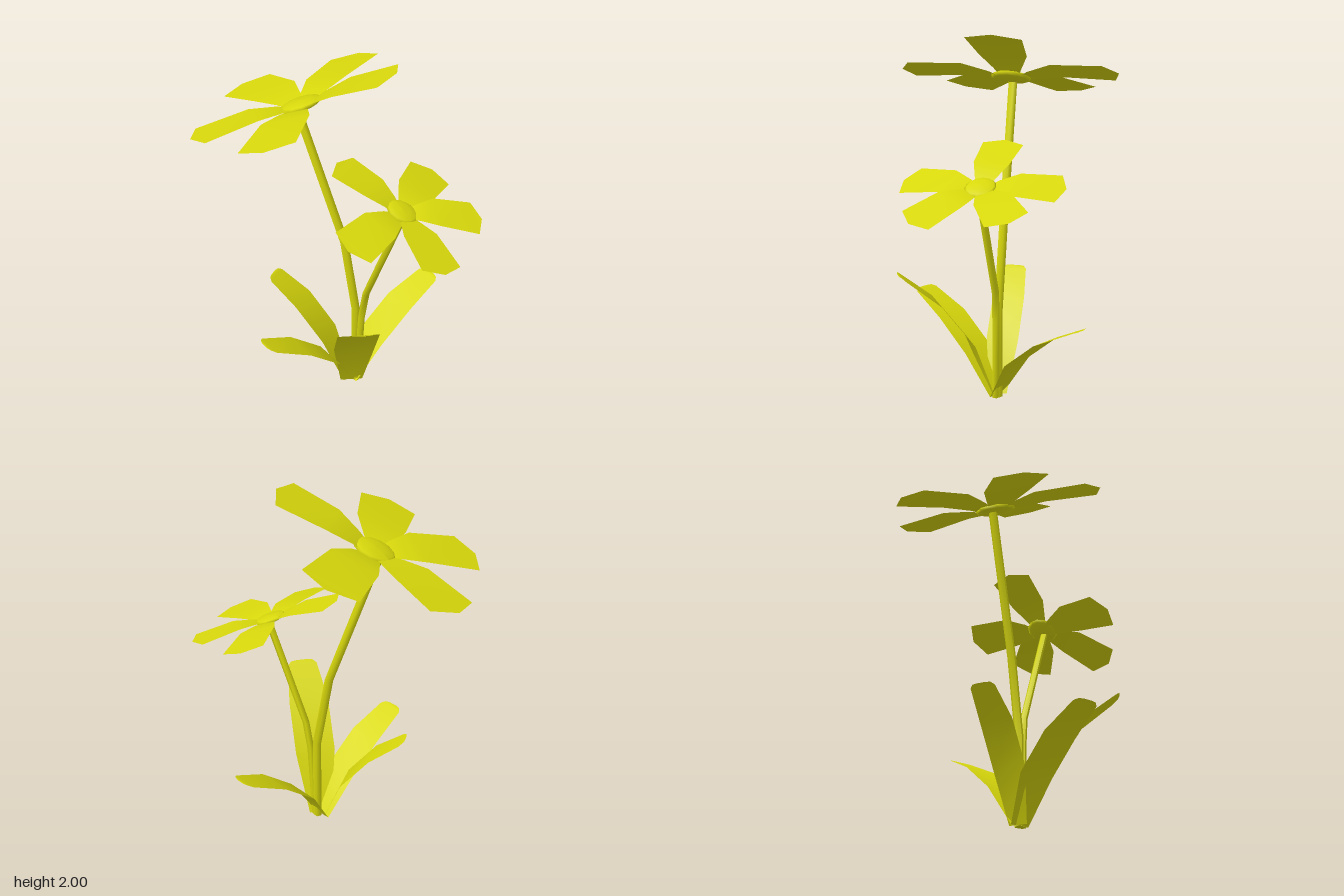
import * as THREE from 'three';

const yellow = new THREE.MeshStandardMaterial({ color: 0xd8d80c, side: THREE.DoubleSide });
yellow.name = 'yellow';

// Ribbon along a horizontal direction; each row is [distance, height, half width].
// sideSlope is the rise per unit of width, so that a blade can lean sideways.
function blade(name, base, dirX, dirZ, rows, sideSlope = 0) {
  const pos = [], index = [];
  rows.forEach(([r, y, w], i) => {
    for (const s of [w, -w]) {
      pos.push(base[0] + dirX * r - dirZ * s, base[1] + y + sideSlope * s, base[2] + dirZ * r + dirX * s);
    }
    if (i < rows.length - 1) {
      const k = 2 * i;
      index.push(k + 1, k, k + 3, k, k + 2, k + 3);
    }
  });
  const geo = new THREE.BufferGeometry();
  geo.setAttribute('position', new THREE.Float32BufferAttribute(pos, 3));
  geo.setIndex(index);
  geo.computeVertexNormals();
  const mesh = new THREE.Mesh(geo, yellow);
  mesh.name = name;
  return mesh;
}

// Leaf: arching blade with a rounded tip
const LEAF = [[0, 0, 0.55], [0.25, 0.455, 1], [0.6, 0.78, 1], [0.95, 0.98, 0.75], [0.985, 1, 0.55], [1, 1, 0.25]];
function leaf(name, base, angle, reach, height, halfWidth) {
  const rows = LEAF.map(([r, y, w]) => [r * reach, y * height, w * halfWidth]);
  return blade(name, base, Math.cos(angle), Math.sin(angle), rows);
}

// Stem: five-sided tube whose rings follow the given points
function stem(name, points, radius) {
  const n = points.length - 1;
  const geo = new THREE.CylinderGeometry(radius, radius, n, 5, n, false);
  const p = geo.attributes.position;
  for (let i = 0; i < p.count; i++) {
    const c = points[Math.round(p.getY(i) + n / 2)];
    p.setXYZ(i, p.getX(i) + c[0], c[1], p.getZ(i) + c[2]);
  }
  geo.computeVertexNormals();
  const mesh = new THREE.Mesh(geo, yellow);
  mesh.name = name;
  return mesh;
}

// Flower: petals reaching from the hub to each tip, leaning with the tilt of the head
function flower(name, hub, tilt, size, tips) {
  const group = new THREE.Group();
  group.name = name;
  for (const [x, y, z] of tips) {
    const dx = x - hub[0], dz = z - hub[2], rise = y - hub[1];
    const len = Math.hypot(dx, dz), ux = dx / len, uz = dz / len;
    const arch = 0.035 * size;
    const rows = [[0.07, 0.07, 0.045, 0], [0.19, 0.19, 0.075, 0.6], [0.43, 0.43, 0.128, 1], [0.91, 0.91, 0.148, 0.1], [1, 1, 0, 0]]
      .map(([t, h, w, a]) => [t * len, h * rise + a * arch, w * size]);
    group.add(blade('petal', hub, ux, uz, rows, tilt[0] * -uz + tilt[1] * ux));
  }
  // Flat domed centre, sheared to the same tilt
  const geo = new THREE.SphereGeometry(0.11 * size, 12, 6);
  const p = geo.attributes.position;
  for (let i = 0; i < p.count; i++) {
    p.setY(i, p.getY(i) * 0.22 + tilt[0] * p.getX(i) + tilt[1] * p.getZ(i));
  }
  geo.computeVertexNormals();
  const centre = new THREE.Mesh(geo, yellow);
  centre.name = 'flowerCentre';
  centre.position.set(hub[0], hub[1] + 0.02 * size, hub[2]);
  group.add(centre);
  return group;
}

export function createModel() {
  const model = new THREE.Group();
  model.name = 'floweringPlant';

  // Stems
  model.add(stem('tallStem', [[0.09, 0, -0.07], [0.09, 0.5, -0.07], [0.02, 0.93, -0.04], [-0.21, 1.7, 0.1]], 0.025));
  model.add(stem('shortStem', [[0.11, 0, -0.07], [0.125, 0.45, -0.085], [0.145, 0.62, -0.1], [0.35, 1.21, -0.18]], 0.021));

  // Leaves
  model.add(leaf('frontLeaf', [0.078, 0, -0.05], Math.PI / 2, 0.58, 0.507, 0.1));
  model.add(leaf('backLeaf', [0.078, 0, -0.05], -Math.PI / 2, 0.585, 0.507, 0.1));
  model.add(leaf('leftLeaf', [0.1, 0, -0.04], 0.53, 0.52, 0.735, 0.115));
  model.add(leaf('rightLeaf', [0.06, 0, -0.04], Math.PI - 0.53, 0.465, 0.61, 0.09));

  // Flowers
  model.add(flower('largeFlower', [-0.185, 1.705, 0.09], [0.33, -0.17], 1, [
    [-0.78, 1.595, 0.075], [-0.42, 1.77, -0.465], [0.26, 2.0, -0.18], [0.18, 1.765, 0.56], [-0.39, 1.605, 0.635],
  ]));
  model.add(flower('smallFlower', [0.34, 1.22, -0.18], [-0.36, 0.17], 0.76, [
    [0.775, 1.115, -0.11], [0.54, 1.15, -0.56], [0.12, 1.25, -0.565], [-0.02, 1.415, -0.02], [0.46, 1.23, 0.26],
  ]));
  return model;
}
